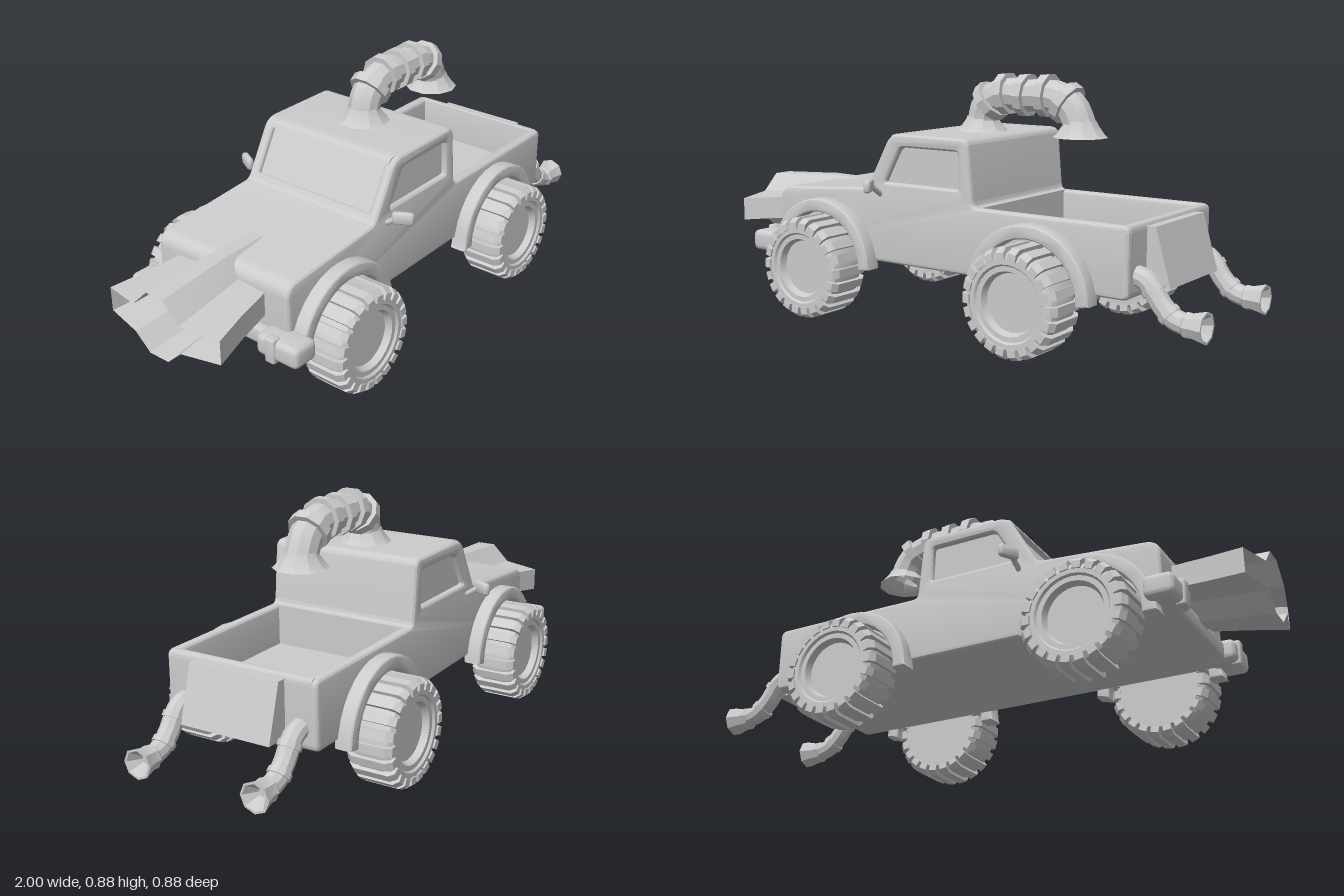
import * as THREE from 'three';
import { toCreasedNormals } from 'three/addons/utils/BufferGeometryUtils.js';
import { RoundedBoxGeometry } from 'three/addons/geometries/RoundedBoxGeometry.js';

const solid = new THREE.MeshStandardMaterial({ color: 0xcccccc });
const open = new THREE.MeshStandardMaterial({ color: 0xcccccc, side: THREE.DoubleSide });
const V3 = (x, y, z) => new THREE.Vector3(x, y, z);

function mesh(name, geometry, parent, material = solid, crease = 0.5) {
  const m = new THREE.Mesh(toCreasedNormals(geometry, crease), material);
  m.name = name;
  parent.add(m);
  return m;
}

// Closed outline with corners [x, y, radius] rounded off
function outline(corners, Type = THREE.Shape) {
  const s = new Type();
  const n = corners.length;
  corners.forEach(([x, y, r = 0], i) => {
    const p = new THREE.Vector2(x, y);
    const toward = (q) => {
      const d = new THREE.Vector2(q[0], q[1]).sub(p);
      return p.clone().add(d.setLength(Math.min(r, d.length() * 0.45)));
    };
    const a = toward(corners[(i + n - 1) % n]);
    const b = toward(corners[(i + 1) % n]);
    if (i === 0) s.moveTo(a.x, a.y);
    else s.lineTo(a.x, a.y);
    if (r) s.quadraticCurveTo(x, y, b.x, b.y);
  });
  s.closePath();
  return s;
}

function extrude(shape, depth, z, bevel = 0) {
  const g = new THREE.ExtrudeGeometry(shape, {
    depth: depth - 2 * bevel, bevelEnabled: bevel > 0, bevelSize: bevel,
    bevelThickness: bevel, bevelOffset: -bevel, bevelSegments: 3, curveSegments: 8,
  });
  return g.translate(0, 0, z + bevel);
}

// Body: bevelled side panels with window openings around a recessed core
function addBody(car) {
  const front = [[-0.72, 0.21, 0.02], [-0.72, 0.44, 0.05], [-0.29, 0.472, 0.02]];
  const cabTop = [[-0.18, 0.67, 0.04], [0.155, 0.67, 0.03]];
  const rear = [[0.765, 0.443, 0.025], [0.765, 0.21, 0.025]];

  const side = outline([...front, ...cabTop, [0.175, 0.443, 0.02], ...rear]);
  side.holes.push(outline(
    [[-0.203, 0.498, 0.01], [0.117, 0.498, 0.01], [0.112, 0.624, 0.01], [-0.133, 0.624, 0.02]], THREE.Path));
  for (const z of [0.245, -0.285]) mesh('bodySide', extrude(side, 0.04, z, 0.015), car);

  const windshield = [[-0.275, 0.499], [-0.260, 0.490], [-0.179, 0.635], [-0.194, 0.644]];
  const bed = [[0.175, 0.443, 0.02], [0.2, 0.443], [0.2, 0.3], [0.735, 0.3], [0.735, 0.443, 0.006]];
  mesh('bodyCore', extrude(outline([...front, ...windshield, ...cabTop, ...bed, ...rear]), 0.53, -0.265), car);

  // Sloping plate on the tailgate
  mesh('tailgatePlate', extrude(outline([[0.75, 0.43], [0.795, 0.43], [0.85, 0.24], [0.75, 0.24]]), 0.335, -0.168), car);
}

// Flaring intake: cross-shaped section lofted from the hood to the open mouth
function addIntake(car) {
  const half = [[0.035, 0.44], [0.1, 0.375], [0.24, 0.365], [0.24, 0.28], [0.1, 0.275], [0.04, 0.22]];
  const ring = [...half, ...half.map(([z, y]) => [-z, y]).reverse()];
  const stations = [[-0.99, 1, 1, 0], [-0.85, 0.88, 0.97, 0.012], [-0.72, 0.78, 0.93, 0.024], [-0.55, 0.66, 0.9, 0.026]];
  const pos = [], index = [], n = ring.length;
  stations.forEach(([x, wide, tall, lift], s) => {
    ring.forEach(([z, y]) => {
      const notch = s ? 0 : (Math.abs(z) > 0.2 ? 0.02 : -0.01);
      pos.push(x + notch, 0.33 + (y - 0.33) * tall + lift, z * wide);
    });
    if (!s) return;
    for (let i = 0; i < n; i++) {
      const a = (s - 1) * n + i, b = (s - 1) * n + (i + 1) % n;
      index.push(a, a + n, b, b, a + n, b + n);
    }
  });
  const g = new THREE.BufferGeometry();
  g.setAttribute('position', new THREE.Float32BufferAttribute(pos, 3));
  g.setIndex(index);
  mesh('frontIntake', g, car, open);
}

// Wheel built along z with its outer face toward +z
function addWheel(car, x, sideSign) {
  const wheel = new THREE.Group();
  wheel.name = 'wheel';
  const profile = [[0, 0], [0.145, 0], [0.165, 0.02], [0.17, 0.04], [0.17, 0.12], [0.163, 0.145], [0.145, 0.156],
    [0.128, 0.156], [0.122, 0.148], [0.105, 0.148], [0.096, 0.125], [0, 0.125]];
  const tyre = new THREE.LatheGeometry(profile.map(([r, t]) => new THREE.Vector2(r, t)), 32);
  mesh('tyre', tyre.rotateX(Math.PI / 2), wheel);
  const lug = outline([[0.142, -0.002], [0.164, -0.004], [0.181, 0.018], [0.181, 0.142], [0.166, 0.162], [0.142, 0.162]]);
  const count = 22;
  for (let i = 0; i < count; i++) {
    const g = extrude(lug, 0.03, -0.015).rotateX(Math.PI / 2).rotateZ((i / count) * Math.PI * 2);
    mesh('treadLug', g, wheel);
  }
  wheel.position.set(x, 0.181, 0.277 * sideSign);
  if (sideSign < 0) wheel.rotation.y = Math.PI;
  car.add(wheel);
}

// Arched fender over a wheel
function addFender(car, x, sideSign) {
  const s = new THREE.Shape();
  s.moveTo(x + 0.24, 0.175);
  s.absarc(x, 0.185, 0.235, 0, Math.PI, false);
  s.lineTo(x - 0.24, 0.175);
  s.lineTo(x - 0.187, 0.175);
  s.absarc(x, 0.185, 0.187, Math.PI, 0, true);
  s.lineTo(x + 0.187, 0.175);
  mesh('fender', extrude(s, 0.065, sideSign > 0 ? 0.27 : -0.335, 0.01), car);
}

// Pipe along a curve, with collars at given fractions of its length
function addPipe(car, name, points, radius, collars, collarRadius, collarLength) {
  const curve = new THREE.CatmullRomCurve3(points);
  mesh(name, new THREE.TubeGeometry(curve, 24, radius, 10), car, open);
  for (const t of collars) {
    const m = mesh(name + 'Collar', new THREE.CylinderGeometry(collarRadius, collarRadius, collarLength, 10), car);
    m.position.copy(curve.getPointAt(t));
    m.quaternion.setFromUnitVectors(V3(0, 1, 0), curve.getTangentAt(t));
  }
}

function lathe(points, sides) {
  return new THREE.LatheGeometry(points.map(([r, y]) => new THREE.Vector2(r, y)), sides);
}

export function createModel() {
  const car = new THREE.Group();
  car.name = 'pickupTruck';
  addBody(car);
  addIntake(car);

  // Roof pipe with a flange on the cab and a flared hanging end
  addPipe(car, 'roofPipe', [V3(0.012, 0.68, 0), V3(0.03, 0.755, 0), V3(0.1, 0.8, 0), V3(0.21, 0.802, 0),
    V3(0.32, 0.8, 0), V3(0.385, 0.765, 0), V3(0.42, 0.695, 0)], 0.057, [0.2, 0.34, 0.49, 0.65, 0.8], 0.074, 0.033);
  const flare = [[0.095, 0], [0.085, 0.008], [0.062, 0.04], [0.055, 0.055]];
  mesh('roofFlange', lathe(flare, 10).translate(0.012, 0.668, 0), car, open);
  const hanging = mesh('pipeFlare', lathe(flare, 10), car, open);
  hanging.position.set(0.418, 0.67, 0);

  for (const s of [1, -1]) {
    for (const x of [-0.48, 0.42]) {
      addWheel(car, x, s);
      addFender(car, x, s);
    }

    // Exhaust with a funnel tip
    addPipe(car, 'exhaust', [V3(0.74, 0.285, s * 0.22), V3(0.795, 0.27, s * 0.22), V3(0.85, 0.2, s * 0.22),
      V3(0.89, 0.165, s * 0.22), V3(0.945, 0.15, s * 0.22)], 0.034, [0.35, 0.7], 0.039, 0.02);
    const tip = mesh('exhaustTip', lathe([[0.034, 0], [0.042, 0.01], [0.04, 0.03], [0.052, 0.075], [0.044, 0.075],
      [0.014, 0.035], [0, 0.035]], 8), car, open);
    tip.rotation.z = -Math.PI / 2;
    tip.position.set(0.925, 0.152, s * 0.22);

    // Bumper end wrapping around the nose
    const bumper = mesh('bumperEnd', new RoundedBoxGeometry(0.1, 0.075, 0.17, 3, 0.02), car);
    bumper.position.set(-0.735, 0.242, s * 0.285);
    const bracket = mesh('bumperBracket', new RoundedBoxGeometry(0.035, 0.09, 0.04, 2, 0.008), car);
    bracket.position.set(-0.775, 0.242, s * 0.265);

    // Wing mirror on a slanted arm
    const mirror = mesh('mirror', new RoundedBoxGeometry(0.025, 0.045, 0.075, 3, 0.012), car);
    mirror.position.set(-0.22, 0.49, s * 0.348);
    mirror.rotation.y = s * 0.5;
    const arm = new THREE.LineCurve3(V3(-0.225, 0.45, s * 0.275), V3(-0.222, 0.485, s * 0.33));
    mesh('mirrorArm', new THREE.TubeGeometry(arm, 1, 0.01, 8), car);
  }
  const bar = mesh('bumperBar', new RoundedBoxGeometry(0.05, 0.06, 0.5, 2, 0.012), car);
  bar.position.set(-0.725, 0.24, 0);
  return car;
}
